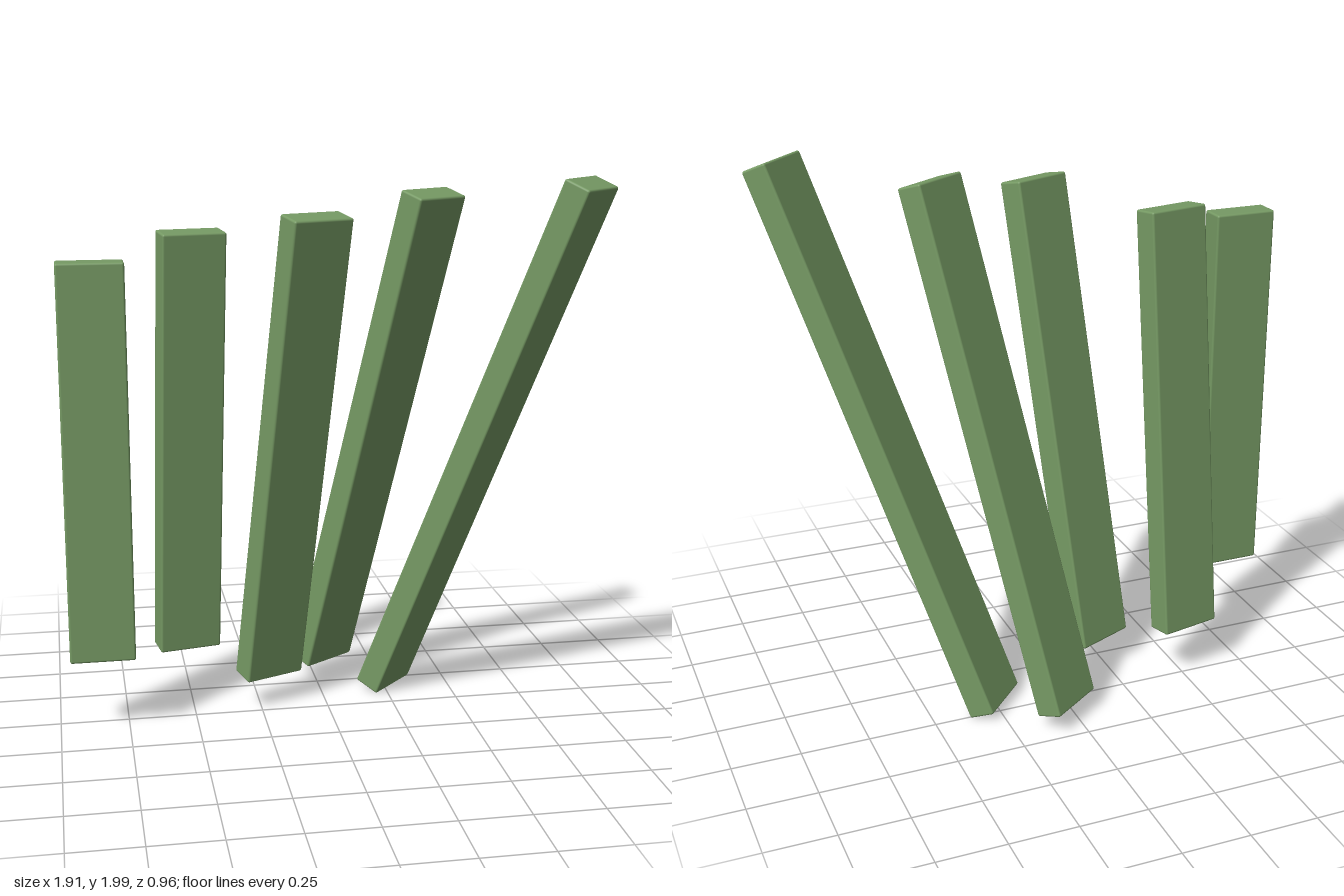
import * as THREE from 'three';
import { RoundedBoxGeometry } from 'three/addons/geometries/RoundedBoxGeometry.js';

// Five planks in a staggered row, each one longer, more turned and more tilted than the last.
export function createModel() {
  const group = new THREE.Group();
  group.name = 'plankRow';

  const green = new THREE.MeshStandardMaterial({ color: 0x769a64 });
  green.name = 'leaf green';

  const count = 5;
  const width = 0.235;
  const thickness = 0.1;
  const edge = 0.008; // small softened edge

  for (let i = 0; i < count; i++) {
    const length = 1.432 + i * 0.173;
    const plank = new THREE.Mesh(
      new RoundedBoxGeometry(width, length, thickness, 2, edge),
      green
    );
    plank.name = `plank${i + 1}`;
    plank.position.set(-0.841 + i * 0.347, 1.0, i % 2 === 0 ? 0.082 : -0.148);
    // turn about the vertical, then lean forward
    plank.rotation.set(i * 0.099, i * 0.2, 0, 'YXZ');
    group.add(plank);
  }
  return group;
}
